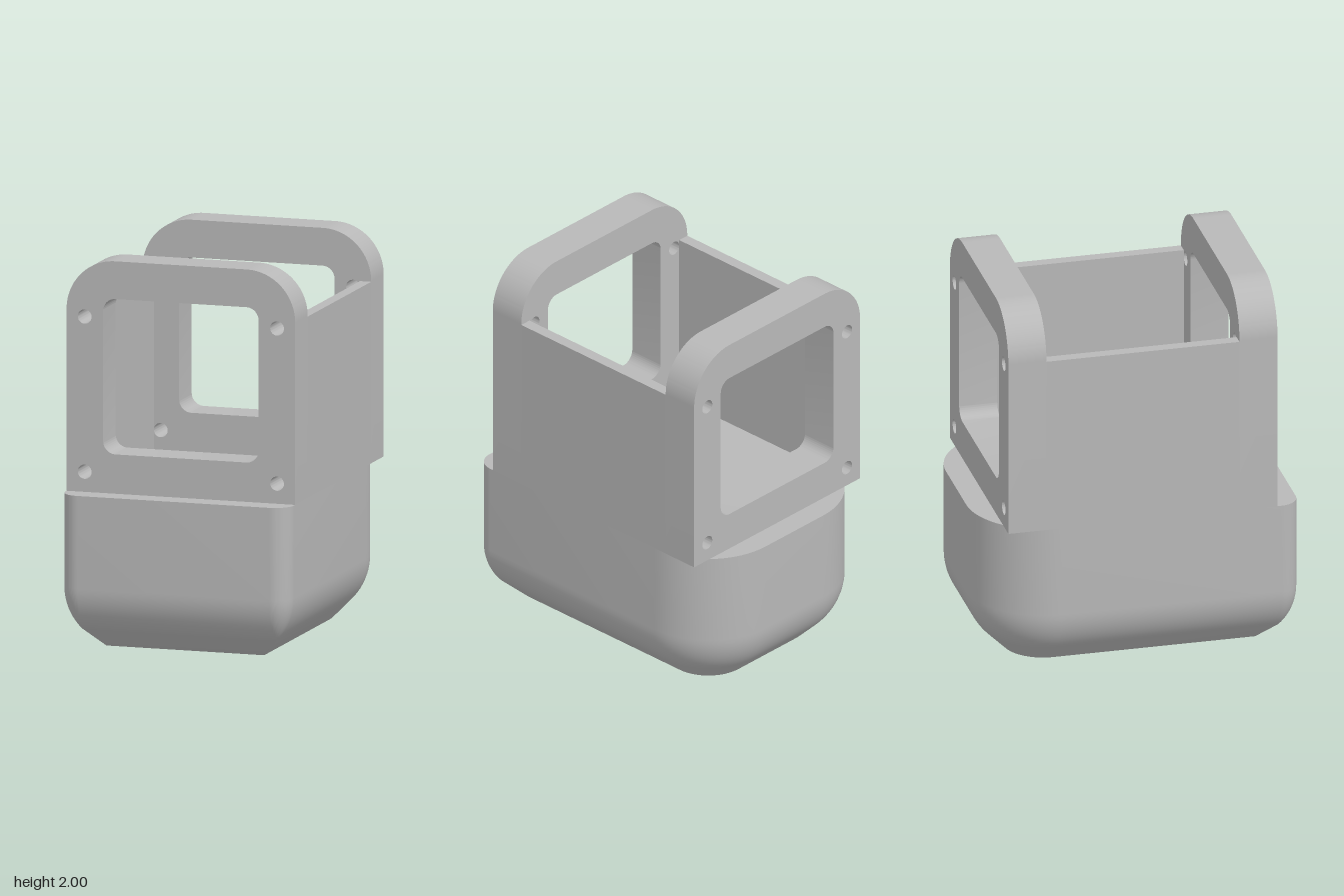
import * as THREE from 'three';
import { toCreasedNormals } from 'three/addons/utils/BufferGeometryUtils.js';

const W = 0.612, D = 0.824;      // half width and half depth of the base
const BASE_TOP = 0.8, WALL_TOP = 1.737;
const FRONT_R = 0.1, BACK_R = 0.4; // plan corner radii
const FRAME_IN = 0.505, FRAME_OUT = 0.704;

const grey = new THREE.MeshStandardMaterial({ color: 0xb8b8b8 });
grey.name = 'plain grey';

function addMesh(group, name, geometry) {
  const mesh = new THREE.Mesh(geometry, grey);
  mesh.name = name;
  group.add(mesh);
  return mesh;
}

// Plan outline of the base, moved inwards by d; tight corners become sharp
function baseRing(d, y) {
  const corners = [[1, 1, FRONT_R], [-1, 1, FRONT_R], [-1, -1, BACK_R], [1, -1, BACK_R]];
  const ring = [];
  corners.forEach(([sx, sz, radius], c) => {
    const r = Math.max(radius - d, 0);
    for (let i = 0; i <= 16; i++) {
      const a = (c + i / 16) * Math.PI / 2;
      ring.push([
        sx * (W - d - r) + r * Math.cos(a), y,
        sz * (D - d - r) + r * Math.sin(a),
      ]);
    }
  });
  return ring;
}

// Base: upright sides, a rounded turn, then a 45 degree chamfer down to the floor
function baseGeometry() {
  const R = 0.314, turnY = 0.32;
  const rings = [baseRing(0.19, 0)];
  for (let i = 10; i >= 0; i--) {
    const a = i / 10 * Math.PI / 4;
    rings.push(baseRing(R * (1 - Math.cos(a)), turnY - R * Math.sin(a)));
  }
  rings.push(baseRing(0, BASE_TOP));
  const top = rings[rings.length - 1], bottom = rings[0];
  const n = top.length, pos = [];
  const tri = (...points) => points.forEach((p) => pos.push(...p));
  for (let i = 0; i < n; i++) {
    const k = (i + 1) % n;
    for (let j = 0; j < rings.length - 1; j++) {
      const a = rings[j][i], b = rings[j][k], c = rings[j + 1][i], d = rings[j + 1][k];
      tri(a, c, b);
      tri(b, c, d);
    }
    tri([0, BASE_TOP, 0], top[k], top[i]);
    tri([0, 0, 0], bottom[i], bottom[k]);
  }
  const geometry = new THREE.BufferGeometry();
  geometry.setAttribute('position', new THREE.Float32BufferAttribute(pos, 3));
  return toCreasedNormals(geometry, 0.5);
}

// Rounded rectangle with separate bottom and top corner radii
function roundedRect(path, x, y0, y1, rBottom, rTop) {
  path.moveTo(-x + rBottom, y0);
  path.lineTo(x - rBottom, y0);
  if (rBottom) path.absarc(x - rBottom, y0 + rBottom, rBottom, -Math.PI / 2, 0);
  path.lineTo(x, y1 - rTop);
  path.absarc(x - rTop, y1 - rTop, rTop, 0, Math.PI / 2);
  path.lineTo(-x + rTop, y1);
  path.absarc(-x + rTop, y1 - rTop, rTop, Math.PI / 2, Math.PI);
  path.lineTo(-x, y0 + rBottom);
  if (rBottom) path.absarc(-x + rBottom, y0 + rBottom, rBottom, Math.PI, Math.PI * 1.5);
  return path;
}

// End frame with a window and four screw holes
function frameGeometry() {
  const shape = roundedRect(new THREE.Shape(), W, BASE_TOP, 2, 0, 0.26);
  shape.holes.push(roundedRect(new THREE.Path(), 0.416, 1.003, 1.805, 0.065, 0.065));
  for (const x of [-0.515, 0.515]) {
    for (const y of [0.904, 1.705]) {
      shape.holes.push(new THREE.Path().absarc(x, y, 0.037, 0, Math.PI * 2));
    }
  }
  const geometry = new THREE.ExtrudeGeometry(shape, {
    depth: FRAME_OUT - FRAME_IN, bevelEnabled: false, curveSegments: 20,
  });
  return toCreasedNormals(geometry, 0.6);
}

export function createModel() {
  const model = new THREE.Group();
  model.name = 'framedHousing';

  addMesh(model, 'base', baseGeometry());

  // Matching frames at the front and back
  const frame = frameGeometry();
  addMesh(model, 'frontFrame', frame).position.z = FRAME_IN;
  addMesh(model, 'backFrame', frame).position.z = -FRAME_OUT;

  // Thin side walls between the frames
  const thickness = 0.06, height = WALL_TOP - BASE_TOP;
  const wall = new THREE.BoxGeometry(thickness, height, FRAME_IN * 2);
  for (const [name, side] of [['leftWall', 1], ['rightWall', -1]]) {
    addMesh(model, name, wall).position.set(side * (W - thickness / 2), BASE_TOP + height / 2, 0);
  }

  return model;
}
